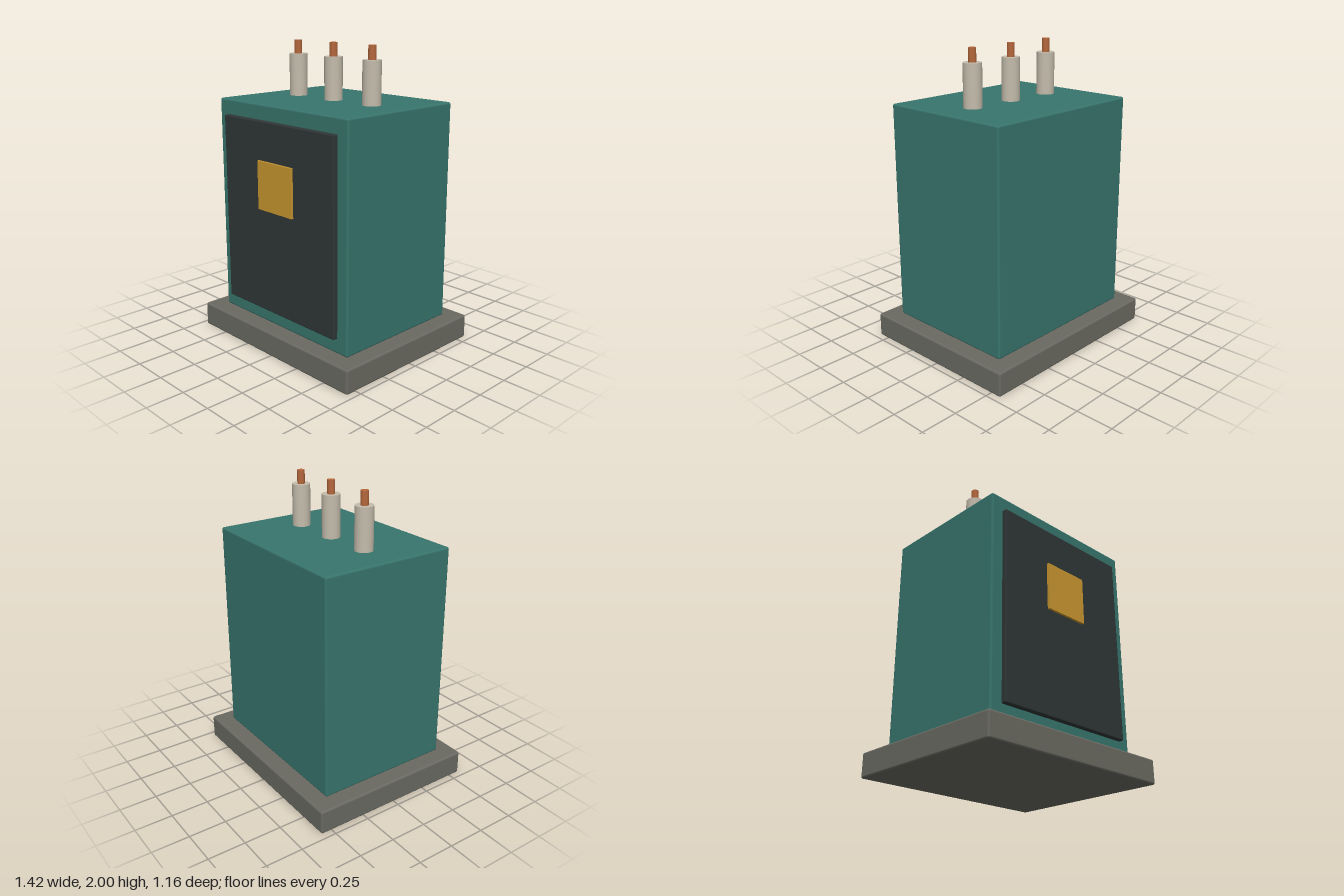
import * as THREE from 'three';
import { RoundedBoxGeometry } from 'three/addons/geometries/RoundedBoxGeometry.js';

const material = (name, color) => {
  const m = new THREE.MeshStandardMaterial({ color });
  m.name = name;
  return m;
};

export function createModel() {
  const grey = material('base grey', 0x6a6a62);
  const teal = material('cabinet teal', 0x38756d);
  const dark = material('door charcoal', 0x2f3736);
  const gold = material('plate gold', 0xc8962f);
  const ceramic = material('ceramic', 0xc4bcac);
  const copper = material('copper', 0xb5683c);

  const model = new THREE.Group();
  model.name = 'transformerCabinet';

  const add = (parent, name, geometry, mat, x, y, z) => {
    const mesh = new THREE.Mesh(geometry, mat);
    mesh.name = name;
    mesh.position.set(x, y, z);
    parent.add(mesh);
  };

  // Box with softened edges, given by its width, bottom, top, back and front
  const block = (name, mat, w, y0, y1, z0, z1, bevel) =>
    add(model, name, new RoundedBoxGeometry(w, y1 - y0, z1 - z0, 2, bevel), mat,
      0, (y0 + y1) / 2, (z0 + z1) / 2);

  block('base', grey, 1.42, 0, 0.163, -0.578, 0.578, 0.014);
  block('cabinet', teal, 1.2, 0.163, 1.63, -0.467, 0.467, 0.014);
  block('frontPanel', dark, 1.03, 0.263, 1.53, 0.44, 0.5, 0.008);

  // Square plate on the front panel
  add(model, 'plate', new THREE.BoxGeometry(0.32, 0.32, 0.025), gold, 0, 1.119, 0.504);

  // Three insulated terminals on the roof
  for (const x of [-0.34, 0, 0.34]) {
    const terminal = new THREE.Group();
    terminal.name = 'terminal';
    terminal.position.x = x;
    add(terminal, 'insulator', new THREE.CylinderGeometry(0.06, 0.06, 0.29, 24), ceramic, 0, 1.765, 0);
    add(terminal, 'conductor', new THREE.CylinderGeometry(0.025, 0.025, 0.11, 20), copper, 0, 1.945, 0);
    model.add(terminal);
  }
  return model;
}
